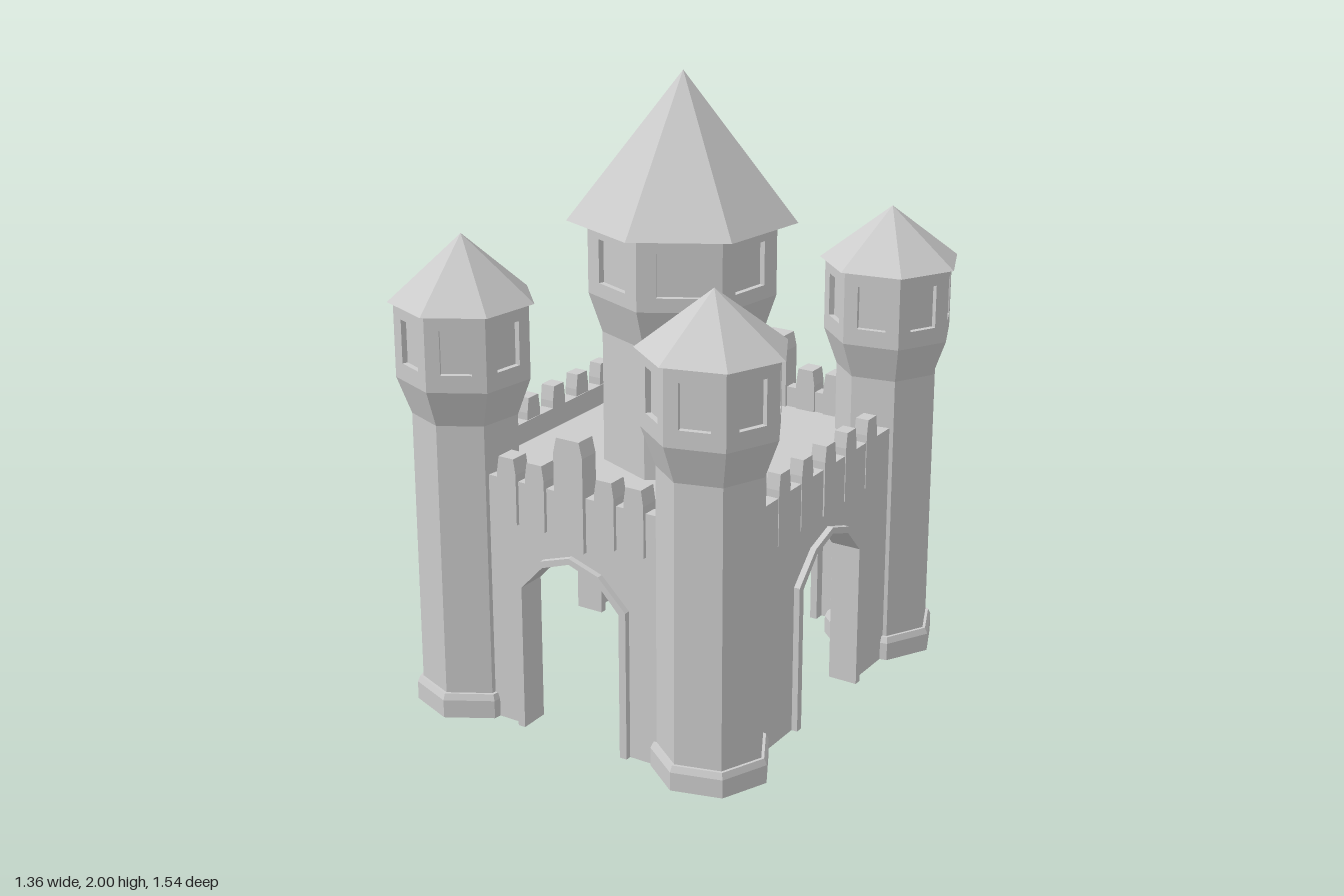
import * as THREE from 'three';

const SIDES = 7;
const material = new THREE.MeshStandardMaterial({ color: 0xcccccc, flatShading: true, side: THREE.DoubleSide });

function add(parent, name, geometry) {
  const mesh = new THREE.Mesh(geometry, material);
  mesh.name = name;
  parent.add(mesh);
  return mesh;
}

// Seven-sided faceted solid from an [radius, height] profile
function facetedLathe(profile, angle) {
  const points = profile.map(([r, y]) => new THREE.Vector2(r, y));
  return new THREE.LatheGeometry(points, SIDES, angle, Math.PI * 2);
}

function rectangle(PathType, x, y0, y1) {
  return new PathType([[-x, y0], [x, y0], [x, y1], [-x, y1]].map(([a, b]) => new THREE.Vector2(a, b)));
}

// Tower shaft, windowed head and pointed roof
function makeTower(name, degrees, o) {
  const tower = new THREE.Group();
  tower.name = name;
  const angle = THREE.MathUtils.degToRad(degrees);
  const half = Math.PI / SIDES;
  const depth = 0.018;
  const core = o.headR - depth / Math.cos(half);

  add(tower, 'shaft', facetedLathe([...o.shaft, [o.headR, o.headY], [core, o.headY], [core, o.eaveY]], angle));

  // One wall panel with a recessed window on every side of the head
  const panel = rectangle(THREE.Shape, o.headR * Math.sin(half), o.headY, o.eaveY);
  panel.holes.push(rectangle(THREE.Path, o.windowW / 2, o.windowY0, o.windowY1));
  const panelGeometry = new THREE.ExtrudeGeometry(panel, { depth, bevelEnabled: false });
  panelGeometry.translate(0, 0, o.headR * Math.cos(half) - depth);
  for (let i = 0; i < SIDES; i++) {
    add(tower, 'windowWall', panelGeometry).rotation.y = angle + (2 * i + 1) * half;
  }

  add(tower, 'roof', facetedLathe([[core, o.eaveY], [o.roofR, o.eaveY], [0, o.apexY]], angle));
  return tower;
}

// Pointed gate outline, grown outward by a margin
function archPoints(m) {
  const w = 0.18 + m;
  return [[w, 0], [w, 0.48 + m * 0.4], [0.1 + m * 0.3, 0.565 + m * 0.8], [0, 0.6 + m * 0.8],
    [-0.1 - m * 0.3, 0.565 + m * 0.8], [-w, 0.48 + m * 0.4], [-w, 0]].map(([x, y]) => new THREE.Vector2(x, y));
}

// Battlement block with tapered top
function merlon(parent, x, z, w, d, y0, y1) {
  const geometry = new THREE.BoxGeometry(w, y1 - y0, d, 1, 2, 1);
  const p = geometry.attributes.position;
  const top = (y1 - y0) / 2;
  for (let i = 0; i < p.count; i++) {
    if (Math.abs(p.getY(i)) < 0.001) p.setY(i, top - 0.05);
    else if (p.getY(i) > 0) p.setX(i, p.getX(i) * 0.78);
  }
  add(parent, 'merlon', geometry).position.set(x, (y0 + y1) / 2, z);
}

// Wall with gate, gate frame and battlements, facing +z before it is turned
function makeWall(name, o) {
  const wall = new THREE.Group();
  wall.name = name;
  const arch = archPoints(0.01);
  const outline = [[-o.halfW, 0], ...arch.reverse().map((p) => [p.x, p.y]), [o.halfW, 0], [o.halfW, 0.82], [-o.halfW, 0.82]];
  const shape = new THREE.Shape(outline.map(([x, y]) => new THREE.Vector2(x, y)));
  add(wall, 'curtainWall', new THREE.ExtrudeGeometry(shape, { depth: 0.045, bevelEnabled: false })).position.z = o.face - 0.045;

  const frame = new THREE.Shape([...archPoints(0.025), ...archPoints(0).reverse()]);
  add(wall, 'gateFrame', new THREE.ExtrudeGeometry(frame, { depth: 0.1, bevelEnabled: false })).position.z = o.face - 0.08;

  for (const x of o.merlons) {
    for (const side of [-1, 1]) merlon(wall, side * x, o.face - 0.02, o.merlonW, o.merlonD, o.merlonY0, 0.895);
  }
  merlon(wall, 0, o.face - 0.02, o.middleW, o.merlonD + 0.005, o.middleY0, o.middleY1);
  wall.rotation.y = o.turn;
  return wall;
}

export function createModel() {
  const castle = new THREE.Group();
  castle.name = 'castle';

  // Corner towers: x, z, facet rotation, roof peak
  const corners = [
    ['frontLeftTower', 0.45, 0.54, -10, 1.52],
    ['frontRightTower', -0.45, 0.54, 4.5, 1.545],
    ['backLeftTower', 0.45, -0.54, 190, 1.52],
    ['backRightTower', -0.45, -0.54, 175.5, 1.52],
  ];
  for (const [name, x, z, degrees, apexY] of corners) {
    const tower = makeTower(name, degrees, {
      shaft: [[0.187, 0], [0.187, 0.06], [0.178, 0.08], [0.168, 0.08], [0.168, 0.98]],
      headR: 0.212, headY: 1.1, eaveY: 1.34, roofR: 0.23, apexY,
      windowW: 0.095, windowY0: 1.155, windowY1: 1.295,
    });
    tower.position.set(x, 0, z);
    castle.add(tower);
  }

  // Central keep standing on the castle deck
  castle.add(makeTower('keep', 4.5, {
    shaft: [[0.257, 0.72], [0.257, 1.18]],
    headR: 0.3, headY: 1.31, eaveY: 1.545, roofR: 0.366, apexY: 2,
    windowW: 0.14, windowY0: 1.355, windowY1: 1.495,
  }));

  // Front and back walls carry a tall middle block, side walls an even row
  const endWall = {
    halfW: 0.4, face: 0.62, merlons: [0.127, 0.232], merlonW: 0.07, merlonD: 0.065,
    merlonY0: 0.68, middleW: 0.105, middleY0: 0.645, middleY1: 1.0,
  };
  const sideWall = {
    halfW: 0.48, face: 0.535, merlons: [0.138, 0.275], merlonW: 0.068, merlonD: 0.045,
    merlonY0: 0.665, middleW: 0.068, middleY0: 0.665, middleY1: 0.895,
  };
  castle.add(makeWall('frontWall', { ...endWall, turn: 0 }));
  castle.add(makeWall('backWall', { ...endWall, turn: Math.PI }));
  castle.add(makeWall('leftWall', { ...sideWall, turn: Math.PI / 2 }));
  castle.add(makeWall('rightWall', { ...sideWall, turn: -Math.PI / 2 }));

  // Deck between the walls
  add(castle, 'deck', new THREE.BoxGeometry(1.0, 0.05, 1.17)).position.y = 0.725;

  return castle;
}
